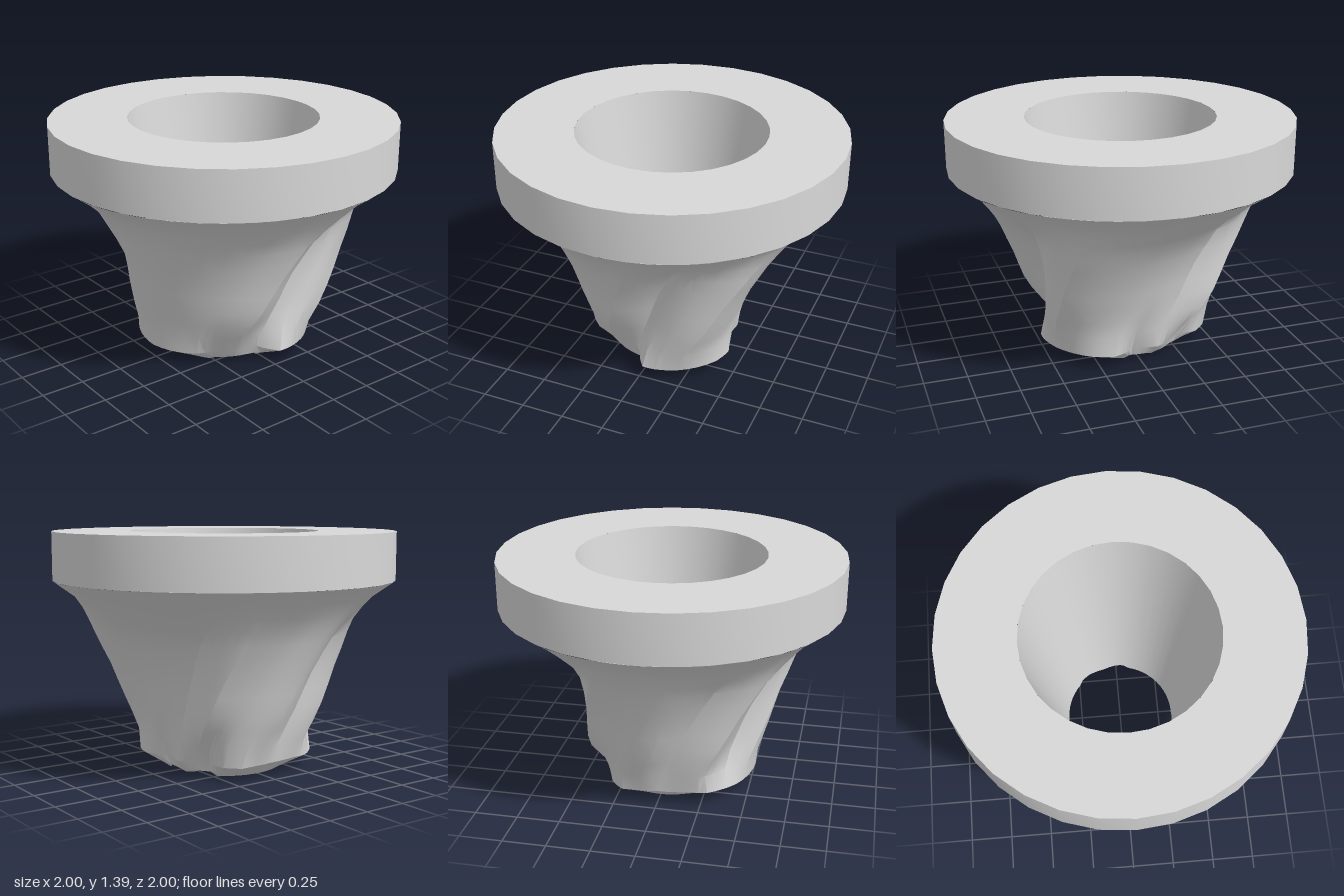
import * as THREE from 'three';
import { toCreasedNormals } from 'three/addons/utils/BufferGeometryUtils.js';

const { lerp, clamp, degToRad } = THREE.MathUtils;

// Section around the body: [angle in degrees, flute depth at the foot, flute depth higher up]
const SECTION = [
  [-42, 1, 0.1], [-34, 1, 0], [-25, 0.85, 0.5], [-14, 0.75, 1], [0, 0.95, 1], [8, 1, 0.95],
  [15, 0.6, 0.88], [22, 0.3, 0.8], [36, 0.12, 0.45], [51, 0.05, 0], [64, 0, -0.3], [78, 0, 0.1],
  [87, 0.05, 0.6], [97, 0.9, 1], [106, 0.95, 0.6], [118, 0.85, 0.1], [136, 0.8, 0.25],
  [147, 0.45, 0.35], [165, 0.15, 0.3], [180, 0, 0.05], [193, 0, 0], [205, 0, 0.05], [213, 0, 0.45],
  [222, 0.05, 0.8], [235, 0.1, 0.4], [245, 0.35, 0], [255, 0.45, 0.2], [268, 0.5, 0.55],
  [283, 0.35, 0.05], [294, 0.1, 0], [306, 0.3, 0.12], [312, 0.6, 0.12], [318, 1, 0.1]];
// Body rows: [height, lobe radius, flute radius, twist in degrees]
const ROWS = [[0.03, 0.4, 0.355, 0], [0.085, 0.52, 0.375, 0], [0.2, 0.535, 0.41, -3],
  [0.3, 0.565, 0.44, -8], [0.4, 0.595, 0.47, -13], [0.5, 0.625, 0.495, -17], [0.6, 0.655, 0.525, -21],
  [0.7, 0.695, 0.57, -25], [0.8, 0.735, 0.62, -29], [0.88, 0.775, 0.7, -33],
  [0.95, 0.82, 0.79, -36], [1.02, 0.875, 0.87, -38], [1.11, 1, 1, -38]];
const BORE_TOP = 0.55, BORE_BOTTOM = 0.335, HEIGHT = 1.39;

// Each section step is halved so that the round rims stay round
const COLUMNS = SECTION.slice(0, -1).flatMap((p, i) =>
  [p, p.map((v, k) => (v + SECTION[i + 1][k]) / 2)]);

const polar = (r, y, deg) => [r * Math.cos(degToRad(deg)), y, r * Math.sin(degToRad(deg))];

// Joins closed rings of points into a skin with sharp edges kept
function loft(rings, crease) {
  const n = COLUMNS.length, index = [];
  for (let j = 0; j < rings.length - 1; j++) {
    for (let i = 0; i < n; i++) {
      const a = j * n + i, b = j * n + (i + 1) % n;
      index.push(b, a, b + n, a, a + n, b + n);
    }
  }
  const g = new THREE.BufferGeometry();
  g.setAttribute('position', new THREE.Float32BufferAttribute(rings.flat(2), 3));
  g.setIndex(index);
  return toCreasedNormals(g, crease);
}

// Lower edge of the bore, raised where a flute cuts through it
const boreRadius = y => lerp(BORE_BOTTOM, BORE_TOP, y / HEIGHT);
const lipRing = COLUMNS.map(([angle, foot]) => {
  const y = 0.028 * clamp((foot - 0.7) / 0.25, 0, 1);
  return polar(boreRadius(y), y, angle);
});

export function createModel() {
  const group = new THREE.Group();
  const grey = new THREE.MeshStandardMaterial({ color: 0xd8d8d8 });
  grey.name = 'grey';

  const add = (name, geometry) => {
    const mesh = new THREE.Mesh(geometry, grey);
    mesh.name = name;
    group.add(mesh);
  };

  // Twisted body with flutes and a chamfered foot
  const bodyRings = ROWS.map(([y, lobe, flute, twist]) => COLUMNS.map(([angle, foot, upper]) => {
    const depth = lerp(foot, upper, clamp((y - 0.085) / 0.25, 0, 1));
    return polar(lerp(lobe, flute, depth), y, angle + twist);
  }));
  add('flutedBody', loft([lipRing, ...bodyRings], 0.42));

  // Tapered through hole
  const boreTop = COLUMNS.map(([angle]) => polar(BORE_TOP, HEIGHT, angle));
  add('bore', loft([boreTop, lipRing], 0.7));

  // Flat collar around the top
  const profile = [[1, 1.11], [1, HEIGHT], [BORE_TOP, HEIGHT]].map(p => new THREE.Vector2(...p));
  add('collar', toCreasedNormals(new THREE.LatheGeometry(profile, 32), 0.6));

  return group;
}
